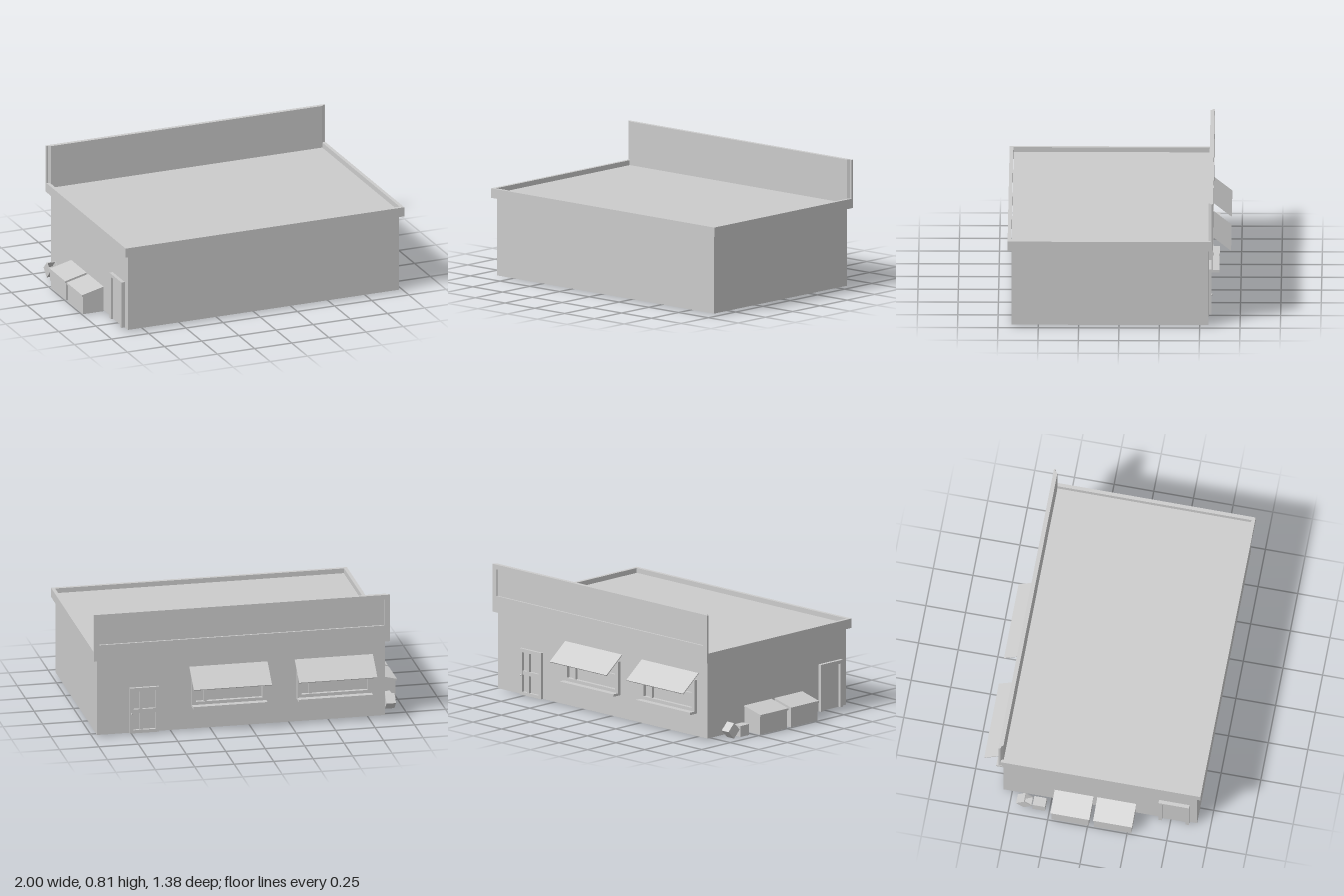
import * as THREE from 'three';

const mat = new THREE.MeshStandardMaterial({ color: 0xcccccc, flatShading: true });

function add(parent, name, geometry) {
  const mesh = new THREE.Mesh(geometry, mat);
  mesh.name = name;
  parent.add(mesh);
  return mesh;
}

// Box given by its minimum and maximum on each axis
function block(parent, name, x0, x1, y0, y1, z0, z1) {
  const g = new THREE.BoxGeometry(x1 - x0, y1 - y0, z1 - z0);
  g.translate((x0 + x1) / 2, (y0 + y1) / 2, (z0 + z1) / 2);
  return add(parent, name, g);
}

function polygon(points, Type = THREE.Shape) {
  return new Type(points.map(([x, y]) => new THREE.Vector2(x, y)));
}

const rect = (x0, x1, y0, y1) => [[x0, y0], [x1, y0], [x1, y1], [x0, y1]];

function extrude(shape, depth) {
  return new THREE.ExtrudeGeometry(shape, { depth, bevelEnabled: false });
}

// Flat rectangular frame with a rectangular opening, extruded along +z
function frameGeometry(outer, inner, depth) {
  const shape = polygon(rect(...outer));
  shape.holes.push(polygon(rect(...inner), THREE.Path));
  return extrude(shape, depth);
}

const WALL = -0.555; // shop front plane
const SIDE = -0.855; // side wall with the bins

function group(parent, name) {
  const g = new THREE.Group();
  g.name = name;
  parent.add(g);
  return g;
}

function addWindow(parent, cx) {
  const w = group(parent, 'shopWindow');
  const x0 = cx - 0.235, x1 = cx + 0.235;
  add(w, 'windowFrame', frameGeometry([x0, x1, 0.165, 0.37], [x0 + 0.025, x1 - 0.025, 0.19, 0.345], 0.023))
    .position.z = WALL - 0.023;
  block(w, 'windowMullion', x1 - 0.095, x1 - 0.075, 0.18, 0.355, WALL - 0.016, WALL);
  block(w, 'windowCrossbar', x0 + 0.01, x1 - 0.01, 0.265, 0.283, WALL - 0.016, WALL);
  block(w, 'windowSill', x0, x1, 0.154, 0.17, WALL - 0.063, WALL);
  // Sloping awning: thin profile in (z, y), extruded along x
  const profile = polygon([[0.555, 0.408], [0.687, 0.302], [0.691, 0.307], [0.555, 0.415]]);
  const awning = extrude(profile, 0.495);
  awning.rotateY(Math.PI / 2);
  awning.translate(cx - 0.2475, 0, 0);
  add(w, 'awning', awning);
}

function addFrontDoor(parent) {
  const d = group(parent, 'frontDoor');
  const x0 = 0.58, x1 = 0.765;
  add(d, 'doorFrame', frameGeometry([x0, x1, 0.01, 0.305], [x0 + 0.022, x1 - 0.022, 0.03, 0.283], 0.017))
    .position.z = WALL - 0.017;
  block(d, 'doorMullion', 0.685, 0.703, 0.02, 0.295, WALL - 0.015, WALL);
  block(d, 'doorCrossbar', x0 + 0.01, x1 - 0.01, 0.14, 0.165, WALL - 0.015, WALL);
  const knob = add(d, 'doorHandle', new THREE.SphereGeometry(0.006, 8, 6));
  knob.position.set(x1 - 0.012, 0.137, WALL - 0.019);
}

function addSideDoor(parent) {
  const d = group(parent, 'sideDoor');
  block(d, 'sideDoorPanel', SIDE - 0.006, SIDE, 0.01, 0.3, 0.43, 0.61);
  for (const z of [0.425, 0.595]) block(d, 'sideDoorJamb', SIDE - 0.022, SIDE, 0.01, 0.31, z, z + 0.022);
  block(d, 'sideDoorLintel', SIDE - 0.022, SIDE, 0.288, 0.31, 0.425, 0.617);
}

function addBin(parent, z0) {
  const b = group(parent, 'wasteBin');
  const body = extrude(polygon([[-0.992, 0], [SIDE, 0], [SIDE, 0.155], [-0.992, 0.118]]), 0.235);
  add(b, 'binBody', body).position.z = z0 + 0.005;
  const lid = extrude(polygon([[-1, 0.116], [SIDE, 0.155], [SIDE, 0.164], [-1, 0.128]]), 0.245);
  add(b, 'binLid', lid).position.z = z0;
}

// Small open carton lying tipped on one edge
function addTippedCarton(parent) {
  const c = group(parent, 'tippedCarton');
  const s = 0.035, t = 0.005;
  block(c, 'cartonBottom', -0.03, 0.03, -s, -s + t, -s, s);
  for (const k of [-1, 1]) {
    block(c, 'cartonSide', -0.03, 0.03, -s, s, k > 0 ? s - t : -s, k > 0 ? s : -s + t);
    block(c, 'cartonEnd', k > 0 ? 0.03 - t : -0.03, k > 0 ? 0.03 : -0.03 + t, -s, s, -s, s);
  }
  c.rotation.x = Math.PI / 4;
  c.position.set(-0.915, 0.0495, -0.41);
}

export function createModel() {
  const model = new THREE.Group();
  model.name = 'shop';

  // Walls and the sunken flat roof
  block(model, 'walls', SIDE, 0.97, 0.01, 0.53, WALL, 0.665);

  // Cornice ring around the roof (shape y becomes -z)
  const cornice = frameGeometry([-0.88, 0.995, -0.69, 0.581], [-0.858, 0.973, -0.667, 0.557], 0.06);
  cornice.rotateX(-Math.PI / 2);
  cornice.translate(0, 0.5, 0);
  add(model, 'cornice', cornice);

  // Sign board with mitred ends and a raised border
  const board = extrude(polygon([[-0.855, 0.555], [0.97, 0.555], [0.983, 0.569], [-0.868, 0.569]]), 0.245);
  board.rotateX(-Math.PI / 2);
  board.translate(0, 0.56, 0);
  add(model, 'signBoard', board);
  add(model, 'signBorder', frameGeometry([-0.88, 0.995, 0.56, 0.805], [-0.845, 0.96, 0.605, 0.775], 0.012))
    .position.z = -0.581;

  addFrontDoor(model);
  for (const cx of [0.1375, -0.53]) addWindow(model, cx);
  addSideDoor(model);
  for (const z of [-0.233, 0.036]) addBin(model, z);

  // Cartons beside the bins
  block(model, 'carton', -0.945, -0.885, 0, 0.07, -0.355, -0.277);
  addTippedCarton(model);

  return model;
}
